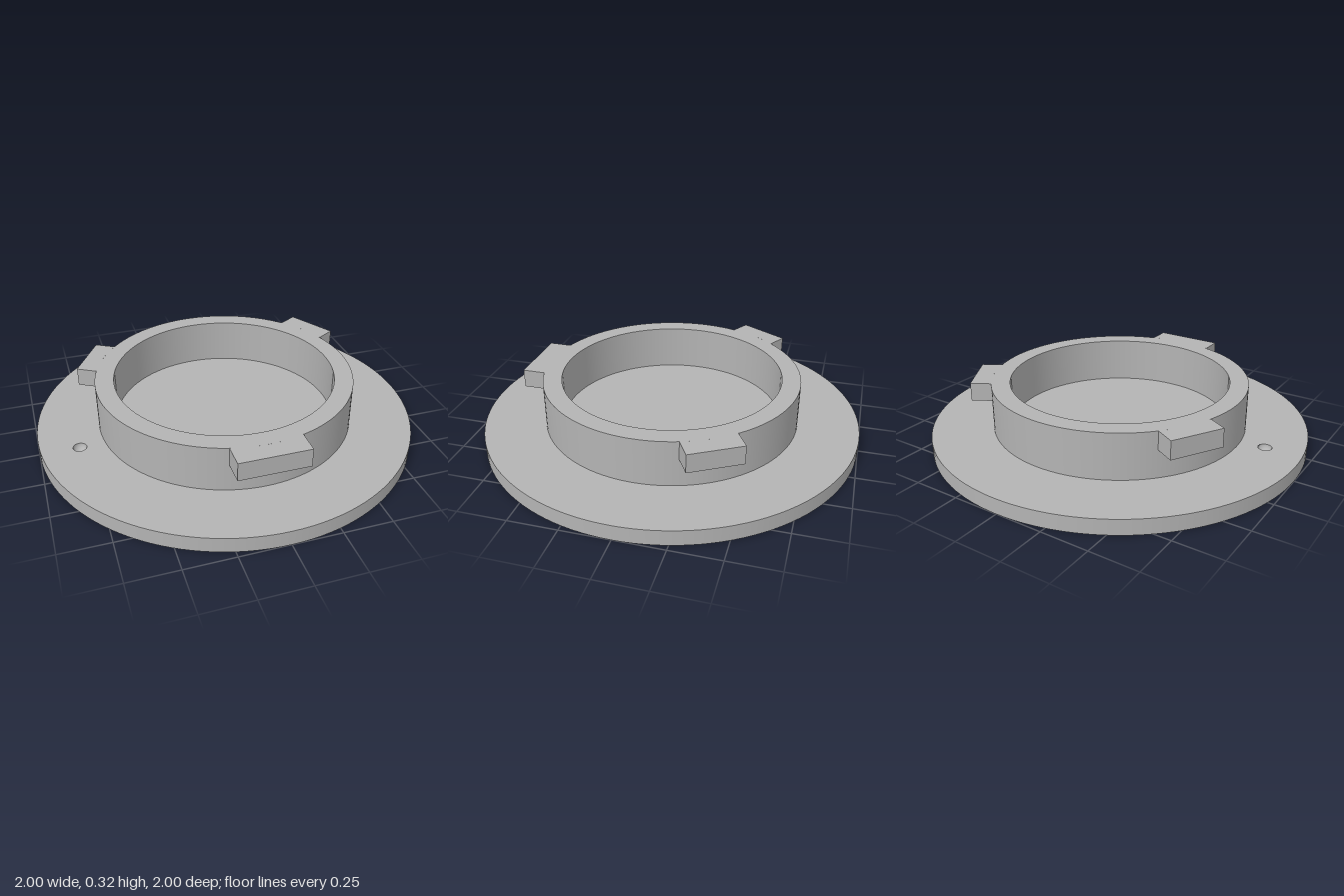
import * as THREE from 'three';

const SEG = 128;
const PLATE_TOP = 0.08, RIM_TOP = 0.322, TAB_BOTTOM = 0.225;
const OUTER = 0.678, INNER = 0.58, TAB_REACH = 0.773;

export function createModel() {
  const model = new THREE.Group();
  const grey = new THREE.MeshStandardMaterial({ color: 0xb3b3b3 });
  grey.name = 'plain grey';
  const greyInside = grey.clone();
  greyInside.side = THREE.BackSide;

  const add = (parent, name, geometry, y, material = grey) => {
    const mesh = new THREE.Mesh(geometry, material);
    mesh.name = name;
    mesh.position.y = y;
    parent.add(mesh);
    return mesh;
  };
  const wall = (r, h) => new THREE.CylinderGeometry(r, r, h, SEG, 1, true);
  const group = (name) => {
    const g = new THREE.Group();
    g.name = name;
    model.add(g);
    return g;
  };

  // Base disc, with a small round dimple sunk into its top
  const base = group('baseDisc');
  const dimple = { x: -0.8, z: 0.107, r: 0.035 };
  const face = new THREE.Shape().absarc(0, 0, 1, 0, Math.PI * 2, false);
  face.holes.push(new THREE.Path().absarc(dimple.x, -dimple.z, dimple.r, 0, Math.PI * 2, true));
  add(base, 'discTop', new THREE.ShapeGeometry(face, SEG / 2).rotateX(-Math.PI / 2), PLATE_TOP);
  add(base, 'discEdge', wall(1, PLATE_TOP), PLATE_TOP / 2);
  add(base, 'discBottom', new THREE.CircleGeometry(1, SEG).rotateX(Math.PI / 2), 0);
  const bowl = new THREE.SphereGeometry(dimple.r, 32, 12, 0, Math.PI * 2, Math.PI / 2, Math.PI / 2);
  add(base, 'dimple', bowl, PLATE_TOP, greyInside).position.set(dimple.x, PLATE_TOP, dimple.z);

  // Raised collar
  const collar = group('collar');
  const height = RIM_TOP - PLATE_TOP, middle = (RIM_TOP + PLATE_TOP) / 2;
  add(collar, 'collarOutside', wall(OUTER, height), middle);
  add(collar, 'collarInside', wall(INNER, height), middle, greyInside);
  add(collar, 'collarRim', new THREE.RingGeometry(INNER, OUTER, SEG).rotateX(-Math.PI / 2), RIM_TOP);

  // Three bayonet tabs: a wide one in front, two narrower ones behind
  const tab = (name, halfWidth, angle) => {
    const a = Math.asin(halfWidth / OUTER);
    const shape = new THREE.Shape();
    shape.moveTo(halfWidth, OUTER * Math.cos(a));
    shape.lineTo(halfWidth, TAB_REACH);
    shape.lineTo(-halfWidth, TAB_REACH);
    shape.absarc(0, 0, OUTER, Math.PI / 2 + a, Math.PI / 2 - a, true);
    const geometry = new THREE.ExtrudeGeometry(shape, {
      depth: RIM_TOP - TAB_BOTTOM, bevelEnabled: false, curveSegments: 16,
    });
    geometry.rotateX(Math.PI / 2).rotateY(angle);
    add(model, name, geometry, RIM_TOP);
  };
  tab('frontTab', 0.18, 0);
  tab('backLeftTab', 0.14, Math.PI * 2 / 3);
  tab('backRightTab', 0.14, -Math.PI * 2 / 3);

  return model;
}
